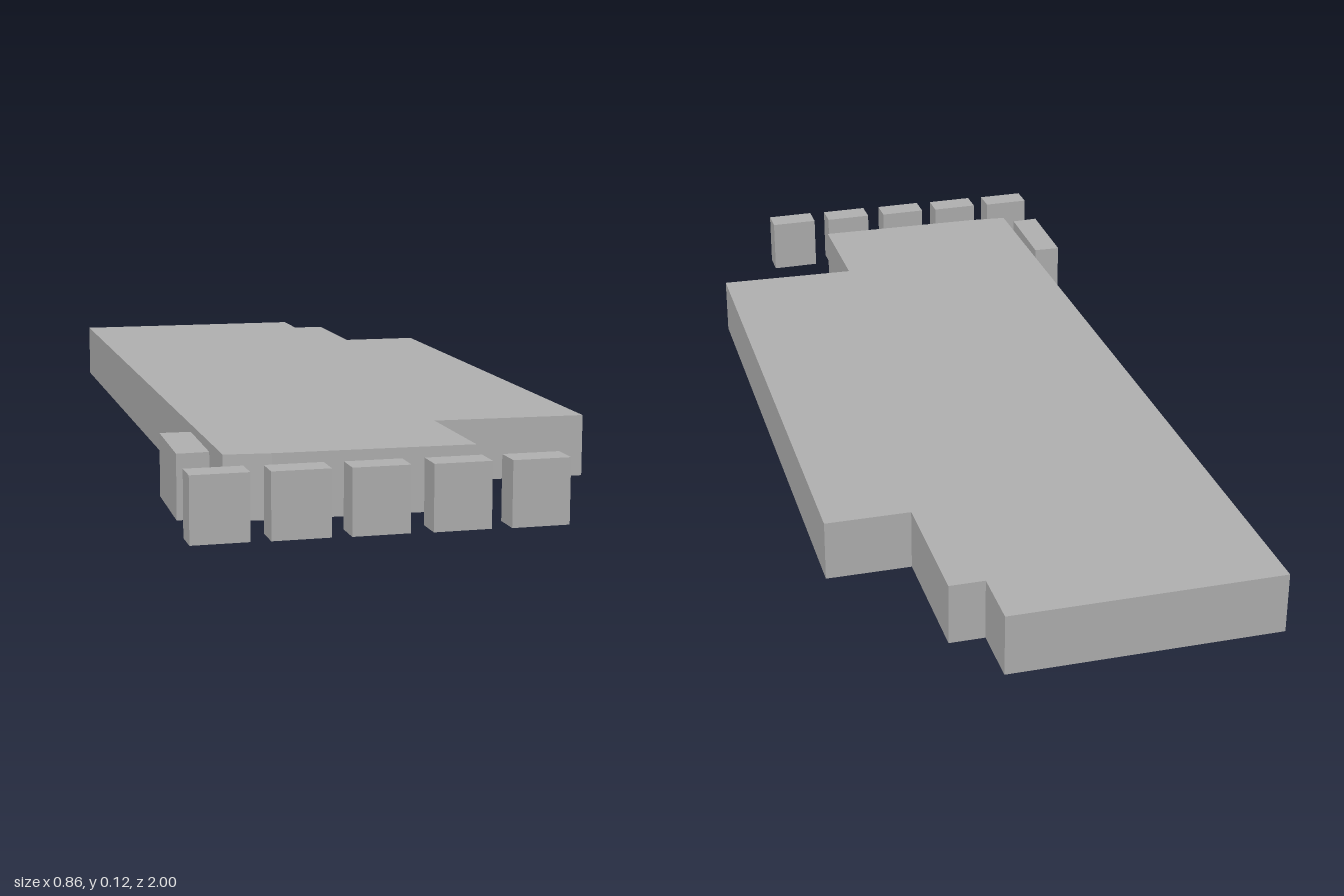
import * as THREE from 'three';

const HEIGHT = 0.12;

// Thin-walled prism over an [x, z] outline: roof and walls, open underneath
function openPrism(outline) {
  const shape = new THREE.Shape(outline.map(([x, z]) => new THREE.Vector2(x, -z)));
  const solid = new THREE.ExtrudeGeometry(shape, { depth: HEIGHT, bevelEnabled: false });
  solid.rotateX(-Math.PI / 2);
  const p = solid.attributes.position;
  const kept = [];
  for (let i = 0; i < p.count; i += 3) {
    const corners = [i, i + 1, i + 2];
    if (corners.every((c) => p.getY(c) < 0.001)) continue; // drop the floor
    for (const c of corners) kept.push(p.getX(c), p.getY(c), p.getZ(c));
  }
  const geometry = new THREE.BufferGeometry();
  geometry.setAttribute('position', new THREE.Float32BufferAttribute(kept, 3));
  geometry.computeVertexNormals();
  return geometry;
}

export function createModel() {
  const group = new THREE.Group();
  group.name = 'buildingBlocks';
  const grey = new THREE.MeshStandardMaterial({ color: 0xb2b2b2, side: THREE.DoubleSide });
  grey.name = 'plain grey';

  const add = (name, outline) => {
    const mesh = new THREE.Mesh(openPrism(outline), grey);
    mesh.name = name;
    group.add(mesh);
  };

  // Large main hall with stepped corners
  add('mainHall', [
    [-0.338, -1], [0.193, -1], [0.193, -0.878], [0.262, -0.878],
    [0.262, -0.604], [0.43, -0.604], [0.425, 0.593], [0.124, 0.587],
    [0.124, 0.842], [-0.253, 0.841], [-0.34, 0.834],
  ]);

  // Narrow annex beside the hall
  add('sideAnnex', [[-0.413, 0.597], [-0.354, 0.598], [-0.358, 0.803], [-0.418, 0.807]]);

  // Row of small units along the front
  const units = [[-0.43, -0.325], [-0.29, -0.184], [-0.149, -0.044], [-0.004, 0.102], [0.138, 0.245]];
  units.forEach(([x0, x1], i) => {
    add(`frontUnit${i + 1}`, [[x0, 0.942], [x1, 0.939], [x1, 0.997], [x0, 1]]);
  });

  return group;
}
